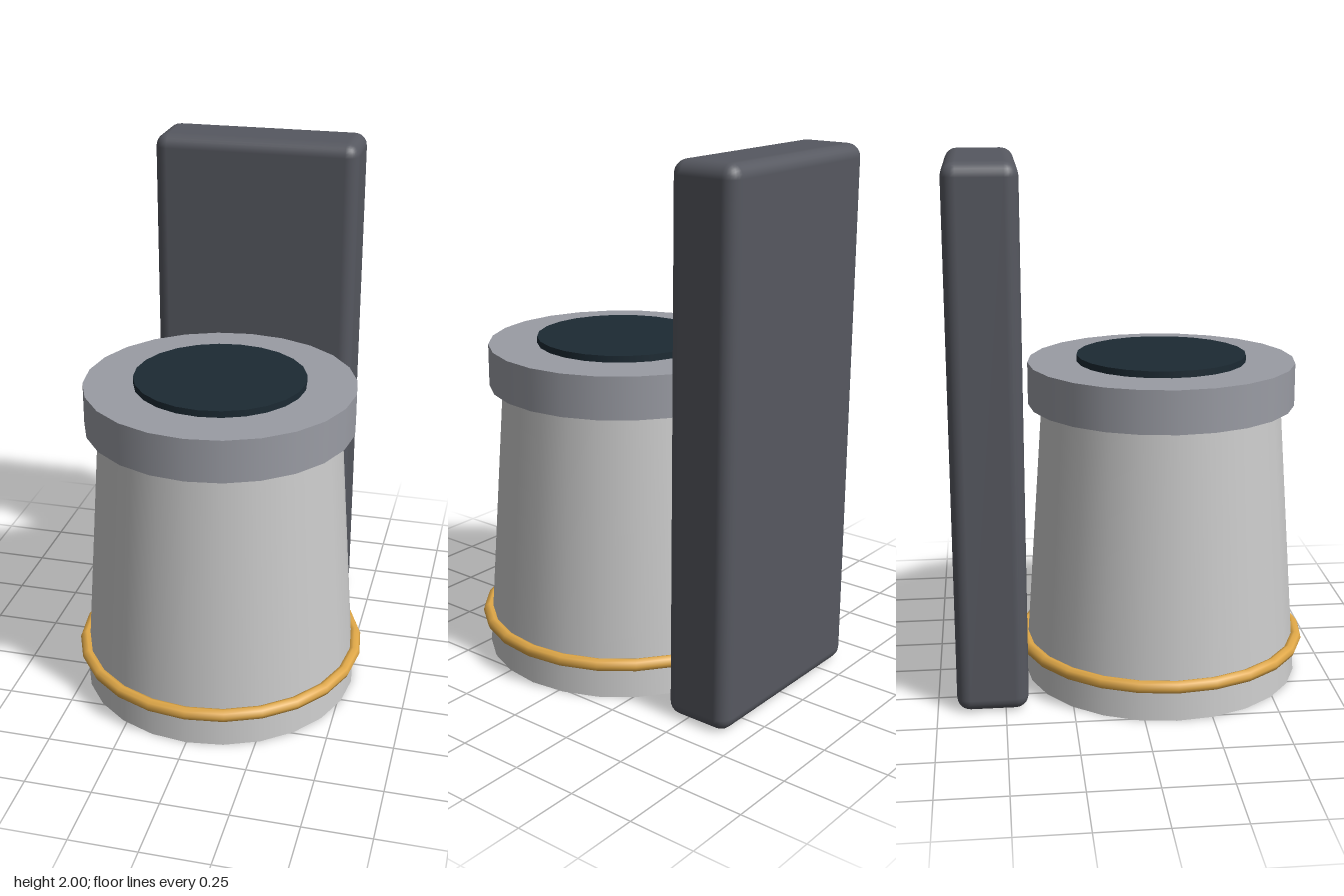
import * as THREE from 'three';
import { RoundedBoxGeometry } from 'three/addons/geometries/RoundedBoxGeometry.js';

const SIDES = 24;
const AXIS_Z = 0.118; // centre line of the round body

export function createModel() {
  const group = new THREE.Group();

  const add = (name, geometry, color, y, z) => {
    const mesh = new THREE.Mesh(geometry, new THREE.MeshStandardMaterial({ color }));
    mesh.name = name;
    mesh.position.set(0, y, z);
    group.add(mesh);
    return mesh;
  };

  // Round part between two heights, given its top and bottom radius
  const drum = (name, rTop, rBottom, y0, y1, color) =>
    add(name, new THREE.CylinderGeometry(rTop, rBottom, y1 - y0, SIDES), color, (y0 + y1) / 2, AXIS_Z);

  // Tapered body with a thick rim and a dark inset disc on top
  drum('body', 0.449, 0.53, 0, 1.15, 0xcccccc);
  drum('rim', 0.505, 0.505, 1.07, 1.23, 0x9a9ca4);
  drum('topDisc', 0.32, 0.32, 1.21, 1.255, 0x1c2a33);

  // Gold band around the foot
  const band = add('band', new THREE.TorusGeometry(0.534, 0.024, 8, SIDES), 0xe0a848, 0.135, AXIS_Z);
  band.rotation.x = Math.PI / 2;

  // Upright slab behind the body
  add('backPanel', new RoundedBoxGeometry(0.796, 2, 0.264, 3, 0.05), 0x565860, 1, -0.547);

  return group;
}
